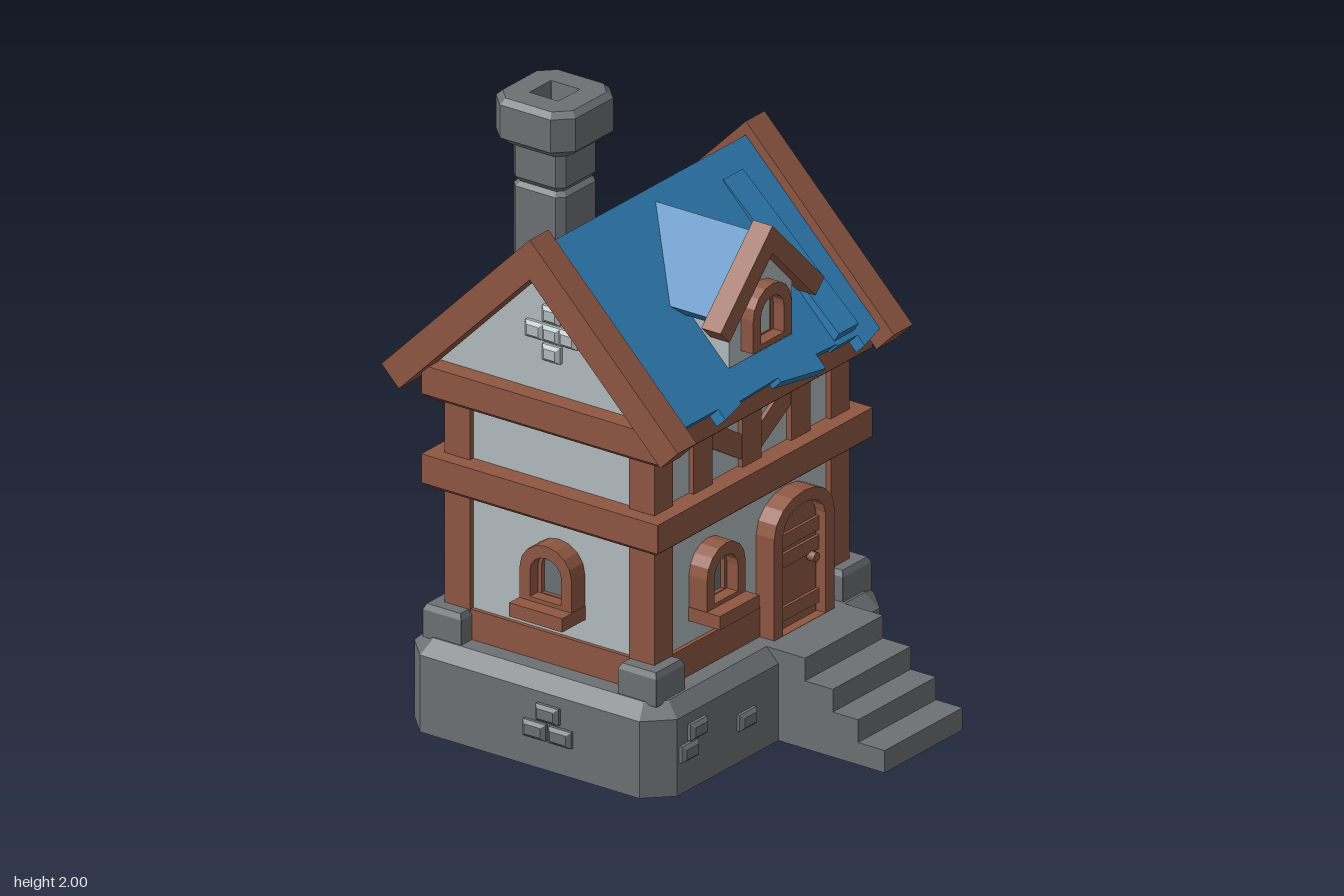
import * as THREE from 'three';

const mat = (name, color) => Object.assign(new THREE.MeshStandardMaterial({ color }), { name });
const timber = mat('timber', 0x8f5742);
const plaster = mat('plaster', 0xb3bbbf);
const stone = mat('stone', 0x6d7174);
const tile = mat('roofTile', 0x2f7db5);

const CZ = -0.125;  // middle of the house in z
const RIDGE = 1.865;

export function createModel() {
  const house = new THREE.Group();
  house.name = 'cottage';

  const add = (name, geo, material, x = 0, y = 0, z = 0, parent = house) => {
    const m = new THREE.Mesh(geo, material);
    m.name = name;
    m.position.set(x, y, z);
    parent.add(m);
    return m;
  };
  const box = (name, material, w, h, d, x, y, z, parent) =>
    add(name, new THREE.BoxGeometry(w, h, d), material, x, y, z, parent);

  // Stacked rectangles with cut corners; each level is [y, halfX, halfZ, cut]
  const loft = (levels) => {
    const pos = [];
    const rings = levels.map(([y, a, b, c = 0.001]) => [
      [a, b - c], [a - c, b], [c - a, b], [-a, b - c],
      [-a, c - b], [c - a, -b], [a - c, -b], [a, c - b],
    ].map(([x, z]) => [x, y, z]));
    const tri = (...p) => p.forEach((v) => pos.push(...v));
    for (let r = 0; r < rings.length - 1; r++) {
      for (let i = 0; i < 8; i++) {
        const j = (i + 1) % 8, A = rings[r], B = rings[r + 1];
        tri(A[i], B[j], A[j]);
        tri(A[i], B[i], B[j]);
      }
    }
    const first = rings[0], last = rings[rings.length - 1];
    for (let i = 1; i < 7; i++) {
      tri(first[0], first[i], first[i + 1]);
      tri(last[0], last[i + 1], last[i]);
    }
    const g = new THREE.BufferGeometry();
    g.setAttribute('position', new THREE.Float32BufferAttribute(pos, 3));
    g.computeVertexNormals();
    return g;
  };
  const extrude = (shape, depth) =>
    new THREE.ExtrudeGeometry(shape, { depth, bevelEnabled: false, curveSegments: 4 });
  const poly = (pts) => new THREE.Shape(pts.map(([x, y]) => new THREE.Vector2(x, y)));
  // Extrudes a (z, y) profile along x from x0 to x1
  const alongX = (pts, x0, x1) => extrude(poly(pts), x1 - x0).rotateY(-Math.PI / 2).translate(x1, 0, 0);

  // Stone base, corner stones and steps
  add('stoneBase', loft([[0, 0.655, 0.545, 0.09], [0.28, 0.655, 0.545, 0.09], [0.33, 0.605, 0.495, 0.06]]),
    stone, 0, 0, CZ);
  for (const sx of [-1, 1]) for (const sz of [-1, 1]) {
    add('cornerStone', loft([[0.32, 0.08, 0.08], [0.42, 0.08, 0.08], [0.44, 0.07, 0.07]]),
      stone, sx * 0.52, 0, CZ + sz * 0.405);
    box('cornerPost', timber, 0.105, 0.88, 0.105, sx * 0.4925, 0.76, CZ + sz * 0.3825);
  }
  [0.53, 0.645, 0.75, 0.86].forEach((z, i) => {
    const h = 0.33 - i * 0.083;
    box('step', stone, 0.435, h, z - 0.33, 0.2175, h / 2, (z + 0.33) / 2);
  });

  // Walls, sill beam and belts
  box('walls', plaster, 1.05, 0.95, 0.83, 0, 0.8, CZ);
  box('sillBeam', timber, 1.08, 0.12, 0.86, 0, 0.38, CZ);
  for (const y of [0.86, 1.185]) {
    add('beltBeam', loft([[y, 0.575, 0.465], [y + 0.02, 0.6, 0.49], [y + 0.125, 0.6, 0.49]]), timber, 0, 0, CZ);
  }
  add('gableWall', alongX([[-0.48, 1.3], [0.48, 1.3], [0, 1.785]], -0.53, 0.53), plaster, 0, 0, CZ);

  // Upper timber framing, front and back
  for (const side of [0, 1]) {
    const frame = new THREE.Group();
    frame.name = side ? 'backFraming' : 'frontFraming';
    frame.position.z = CZ;
    frame.rotation.y = side * Math.PI;
    house.add(frame);
    for (const x of [-0.2725, 0, 0.2725]) box('stud', timber, 0.105, 0.22, 0.03, x, 1.085, 0.42, frame);
    for (const s of [-1, 1]) {
      const brace = [[0.03, 1.0], [0.24, 1.125], [0.24, 1.2], [0.2, 1.2], [0.03, 1.09]].map(([x, y]) => [s * x, y]);
      add('brace', extrude(poly(brace), 0.02), timber, 0, 0, 0.41, frame);
    }
  }

  // Main roof: one strip per [x0, x1, length at x0, length at x1]
  const T = 0.07;
  const slope = (group, x0, x1, h0, h1) => {
    const g = alongX([[0, -T], [h0 - T / 2, -h0 - T / 2], [h0, -h0], [0, 0]], x0, x1);
    const p = g.attributes.position;
    for (let i = 0; i < p.count; i++) {
      if (p.getZ(i) > 0.3 && p.getX(i) > (x0 + x1) / 2) {
        p.setZ(i, p.getZ(i) + h1 - h0);
        p.setY(i, p.getY(i) - h1 + h0);
      }
    }
    g.computeVertexNormals();
    add('roofStrip', g, tile, 0, 0, 0, group);
  };
  const roofSides = [
    [[-0.56, -0.33, 0.54, 0.54], [-0.33, -0.22, 0.57, 0.555], [-0.22, 0, 0.548, 0.543], [0, 0.22, 0.555, 0.578],
      [0.22, 0.33, 0.537, 0.54], [0.33, 0.44, 0.545, 0.545], [0.44, 0.56, 0.575, 0.555]],
    [[-0.56, -0.44, 0.575, 0.565], [-0.44, 0, 0.56, 0.56], [0, 0.33, 0.55, 0.55],
      [0.33, 0.44, 0.56, 0.56], [0.44, 0.56, 0.585, 0.575]],
  ];
  roofSides.forEach((strips, side) => {
    const g = new THREE.Group();
    g.name = side ? 'backRoof' : 'frontRoof';
    g.position.set(0, RIDGE, CZ);
    g.rotation.y = side * Math.PI;
    house.add(g);
    strips.forEach((s) => slope(g, ...s));
    // Lifted plank
    add('loosePlank', alongX([[0.07, -0.09], [0.5, -0.58], [0.55, -0.5], [0.07, -0.065]], 0.33, 0.44),
      tile, 0, 0, 0, g);
  });

  // Chevron of two boards at 45 degrees, apex at the origin
  const chevron = (h, t) => [[0, 0], [-h, -h], [-h + t / 2, -h - t / 2], [0, -t], [h - t / 2, -h - t / 2], [h, -h]];
  for (const x of [-0.655, 0.55]) {
    add('bargeBoard', alongX(chevron(0.615, 0.145), x, x + 0.105), timber, 0, 1.915, CZ);
  }

  // Arched outline standing on y = 0
  const arch = (w, h, rise, Type = THREE.Shape) => {
    const s = new Type();
    s.moveTo(-w / 2, 0);
    s.lineTo(w / 2, 0);
    s.lineTo(w / 2, h - rise);
    s.absellipse(0, h - rise, w / 2, rise, 0, Math.PI, false);
    s.lineTo(-w / 2, 0);
    return s;
  };
  const archFrame = (w, h, rise, iw, ih, irise, y0, depth) => {
    const s = arch(w, h, rise);
    const hole = arch(iw, ih, irise, THREE.Path);
    s.holes.push(new THREE.Path(hole.getPoints(4).map((p) => p.add(new THREE.Vector2(0, y0)))));
    return extrude(s, depth);
  };
  const windowAt = (name, x, y, z, turn, sill) => {
    const g = new THREE.Group();
    g.name = name;
    g.position.set(x, y, z);
    g.rotation.y = turn;
    house.add(g);
    add('windowFrame', archFrame(0.215, 0.22, 0.1, 0.13, 0.155, 0.06, 0.02, 0.075), timber, 0, 0, 0, g);
    add('innerFrame', archFrame(0.14, 0.165, 0.06, 0.1, 0.14, 0.035, 0.008, 0.03), timber, 0, 0.015, 0, g);
    add('windowPane', extrude(arch(0.13, 0.155, 0.05), 0.008), stone, 0, 0.02, 0.006, g);
    if (sill) box('windowSill', timber, 0.22, 0.05, 0.13, 0, -0.02, 0.065, g);
  };
  windowAt('frontWindow', -0.2175, 0.565, 0.29, 0, true);
  windowAt('backWindow', -0.2, 0.565, -0.54, Math.PI, true);
  windowAt('sideWindow', -0.525, 0.565, -0.1, -Math.PI / 2, true);
  windowAt('dormerWindow', 0, 1.44, 0.32, 0, false);

  // Door
  const door = new THREE.Group();
  door.name = 'door';
  door.position.set(0.2175, 0.33, 0.29);
  house.add(door);
  add('doorFrame', archFrame(0.335, 0.49, 0.12, 0.235, 0.445, 0.08, 0.001, 0.075), timber, 0, 0, 0, door);
  add('doorLeaf', extrude(arch(0.225, 0.44, 0.08), 0.04), timber, 0, 0, 0, door);
  for (const y of [0.06, 0.255, 0.325]) box('doorBand', timber, 0.23, 0.05, 0.015, 0, y, 0.044, door);
  add('doorKnob', new THREE.CylinderGeometry(0.018, 0.018, 0.03, 8).rotateX(Math.PI / 2), timber, 0.07, 0.22, 0.06, door);

  // Dormer
  add('dormerWall', extrude(poly([[-0.175, 1.4], [0.175, 1.4], [0.175, 1.6], [0, 1.775], [-0.175, 1.6]]), 0.4),
    plaster, 0, 0, -0.055);
  add('dormerRoof', extrude(poly(chevron(0.235, 0.07)), 0.42), tile, 0, 1.83, -0.1);
  add('dormerBoards', extrude(poly(chevron(0.29, 0.1)), 0.08), timber, 0, 1.87, 0.315);

  // Chimney
  add('chimney', loft([
    [0, 0.2175, 0.165, 0.07], [1.065, 0.2175, 0.165, 0.07], [1.08, 0.2, 0.148, 0.06], [1.1, 0.2175, 0.165, 0.07],
    [1.19, 0.2175, 0.165, 0.07], [1.29, 0.108, 0.108, 0.025], [1.67, 0.108, 0.108, 0.025],
    [1.685, 0.092, 0.092, 0.02], [1.705, 0.108, 0.108, 0.025], [1.82, 0.108, 0.108, 0.025],
    [1.83, 0.13, 0.13, 0.05], [1.86, 0.165, 0.165, 0.06], [1.98, 0.165, 0.165, 0.06],
    [2, 0.145, 0.145, 0.05], [2, 0.06, 0.06], [1.88, 0.045, 0.045],
  ]), stone, 0.2175, 0, -0.67);

  // Raised bricks: each list entry is [across, up], on a face turned about y
  const bricks = (name, material, x, z, turn, list, w = 0.095) => {
    const g = new THREE.Group();
    g.name = name;
    g.position.set(x, 0, z);
    g.rotation.y = turn;
    house.add(g);
    const geo = loft([[-0.02, w / 2, 0.03], [0.012, w / 2, 0.03], [0.024, w / 2 - 0.014, 0.018]]).rotateX(Math.PI / 2);
    list.forEach(([u, v]) => add('brick', geo, material, u, v, 0, g));
  };
  const H = Math.PI / 2;
  const trio = [[0, 0.21], [-0.053, 0.14], [0.053, 0.14]];
  const cross = [[0, 0.07], [-0.07, 0], [0, 0], [0.07, 0], [0, -0.07]];
  bricks('frontBaseBricks', stone, 0, 0.42, 0, [[-0.46, 0.212], [-0.508, 0.148], [-0.185, 0.148]]);
  bricks('rightBaseBricks', stone, 0.655, -0.41, H, trio);
  bricks('leftBaseBricks', stone, -0.655, -0.045, -H, trio);
  bricks('backBaseBricks', stone, -0.25, -0.67, Math.PI, [[-0.03, 0.21], [0.03, 0.145]]);
  bricks('chimneyBricks', stone, 0.2175, -0.835, Math.PI,
    [[-0.02, 0.89], [0.03, 0.825], [-0.08, 0.555], [-0.02, 0.255], [-0.06, 0.19], [0.03, 0.19]]);
  bricks('wallBricks', plaster, 0.525, -0.165, H, cross.map(([u, v]) => [u, v + 0.605]), 0.075);
  bricks('gableBricks', plaster, -0.53, -0.12, -H, cross.map(([u, v]) => [u, v + 1.53]), 0.075);

  return house;
}
